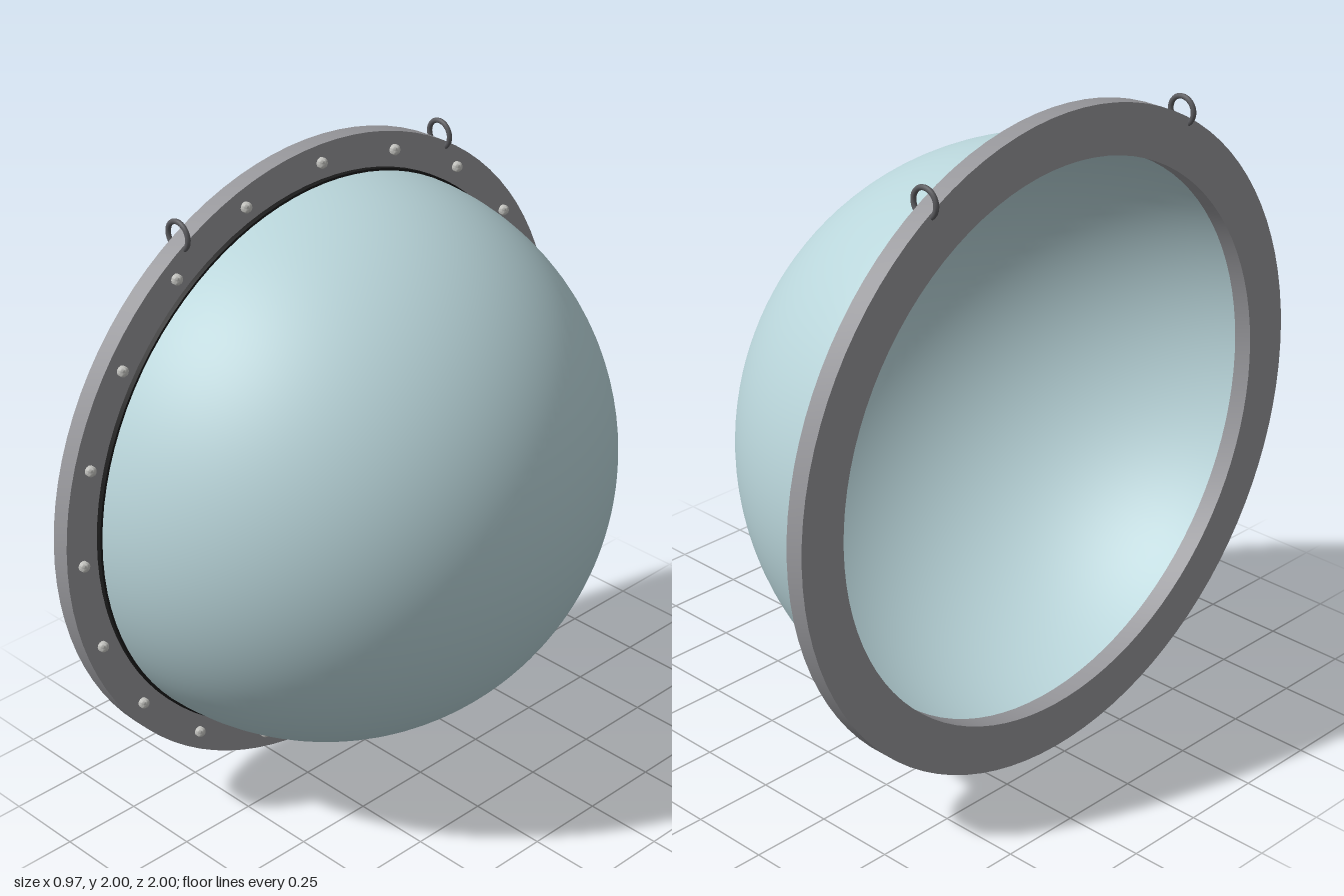
import * as THREE from 'three';
import { toCreasedNormals } from 'three/addons/utils/BufferGeometryUtils.js';

const mat = (name, color, side = THREE.FrontSide) => {
  const m = new THREE.MeshStandardMaterial({ color, side });
  m.name = name;
  return m;
};

// Revolve a [radius, height] profile about the x axis
function revolve(points, segments, crease = 0.5) {
  const g = new THREE.LatheGeometry(points.map(([r, h]) => new THREE.Vector2(r, h)), segments);
  g.rotateZ(-Math.PI / 2);
  return toCreasedNormals(g, crease);
}

export function createModel() {
  const group = new THREE.Group();
  const glass = mat('pale blue dome', 0xb9d5da, THREE.DoubleSide);
  const frameGrey = mat('frame grey', 0x97979b);
  const darkSteel = mat('dark steel', 0x5c5c60);
  const silver = mat('bolt silver', 0xc8c8c4);
  const black = mat('gasket black', 0x1a1a1a);

  const body = new THREE.Group();
  body.name = 'window';
  body.position.y = 1;
  group.add(body);

  const add = (name, geometry, material, x, y = 0, z = 0) => {
    const mesh = new THREE.Mesh(geometry, material);
    mesh.name = name;
    mesh.position.set(x, y, z);
    body.add(mesh);
    return mesh;
  };

  // Half sphere bulging towards +x, open at the back
  const dome = new THREE.SphereGeometry(0.885, 96, 40, 0, Math.PI * 2, 0, Math.PI / 2);
  dome.rotateZ(-Math.PI / 2);
  add('dome', dome, glass, -0.403);

  // Flat mounting ring
  add('mountingRing', revolve(
    [[0.85, 0], [1, 0], [1, 0.058], [0.85, 0.058], [0.85, 0]], 96), frameGrey, -0.462);

  // Thin seal where the dome meets the ring
  add('gasket', revolve(
    [[0.878, 0], [0.892, 0], [0.892, 0.016], [0.878, 0.016], [0.878, 0]], 96), black, -0.404);

  // Bolt heads around the ring
  const boltGeometry = revolve(
    [[0.016, 0], [0.016, 0.013], [0.011, 0.019], [0, 0.021]], 12, 0.9);
  const bolts = 20;
  for (let i = 0; i < bolts; i++) {
    const a = (i / bolts) * Math.PI * 2;
    add('bolt', boltGeometry, silver, -0.404, 0.945 * Math.cos(a), 0.945 * Math.sin(a));
  }

  // Pair of hanging eyes through the upper rim
  const eyeGeometry = new THREE.TorusGeometry(0.042, 0.008, 10, 32);
  for (const side of [-1, 1]) {
    add('hangingEye', eyeGeometry, darkSteel, -0.433, 0.873, side * 0.515);
  }
  return group;
}
